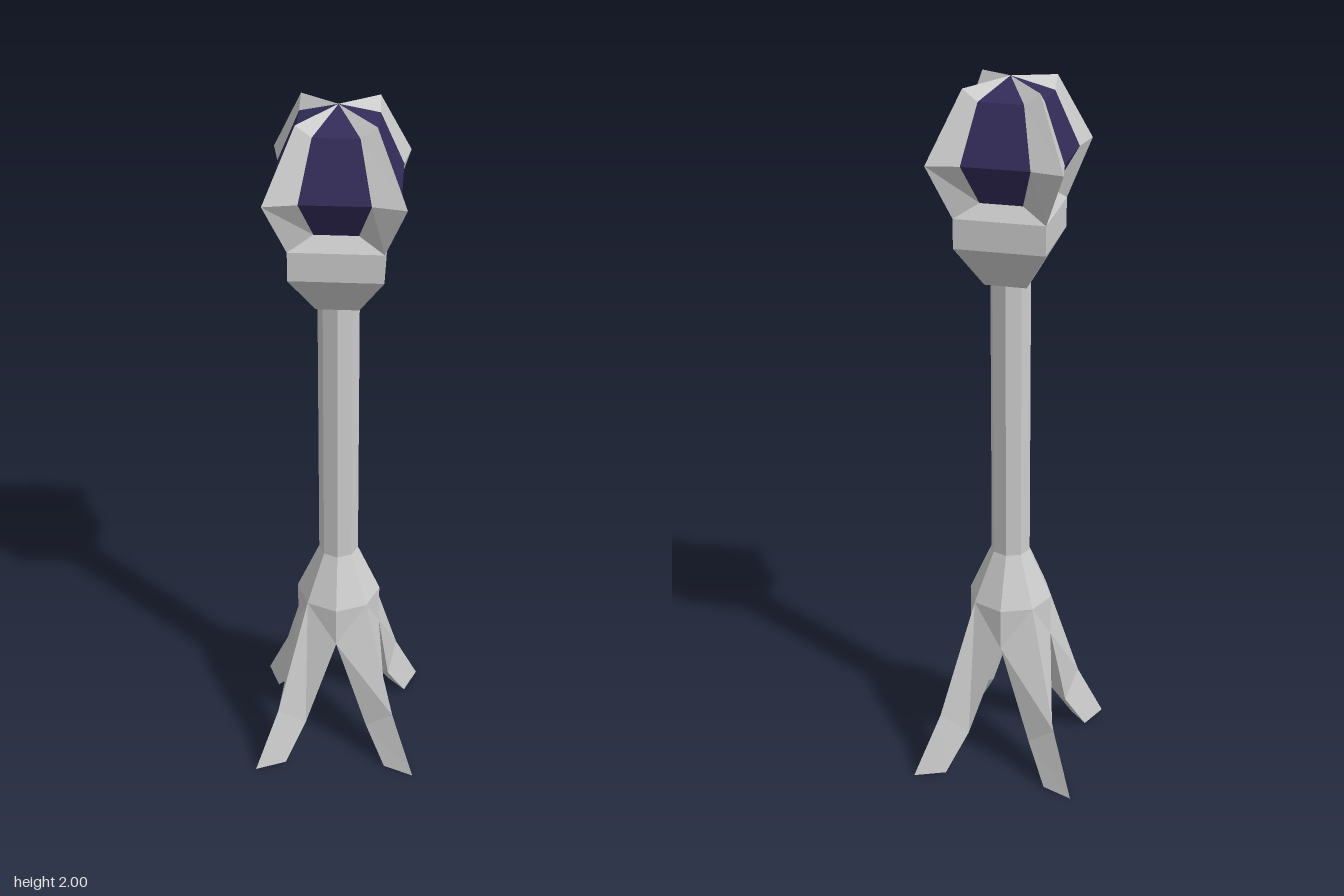
import * as THREE from 'three';

const metal = new THREE.MeshStandardMaterial({ color: 0xcccccc, flatShading: true });
const glass = new THREE.MeshStandardMaterial({ color: 0x332c58, flatShading: true });

function add(group, name, geometry, material = metal) {
  const mesh = new THREE.Mesh(geometry, material);
  mesh.name = name;
  group.add(mesh);
  return mesh;
}

// Builds faces from polygons of [x, y, z] corners; mirrored also adds them flipped across z
function faces(polygons, mirrored) {
  const positions = [];
  for (const side of mirrored ? [1, -1] : [1]) {
    for (const polygon of polygons) {
      const loop = polygon.map(([x, y, z]) => [x, y, z * side]);
      if (side < 0) loop.reverse();
      for (let i = 1; i < loop.length - 1; i++) {
        positions.push(...loop[0], ...loop[i], ...loop[i + 1]);
      }
    }
  }
  const geometry = new THREE.BufferGeometry();
  geometry.setAttribute('position', new THREE.Float32BufferAttribute(positions, 3));
  geometry.computeVertexNormals();
  return geometry;
}

// Half of a splayed leg, with its share of the ceiling between the legs
function legGeometry() {
  const hip = [0.118, 0.515, 0], corner = [0.083, 0.515, 0.083], crotch = [0.083, 0.395, 0.083];
  const knee = [0.235, 0.175, 0], kneeSide = [0.165, 0.115, 0.04];
  const toe = [0.325, 0, 0], heel = [0.24, 0, 0.035];
  const middle = ([x, y]) => [x, y, 0];
  return faces([
    [corner, crotch, hip],
    [crotch, kneeSide, knee, hip],
    [kneeSide, heel, toe, knee],
    [middle(crotch), middle(kneeSide), kneeSide, crotch],
    [middle(kneeSide), middle(heel), heel, kneeSide],
    [toe, heel, middle(heel)],
    [[0, 0.395, 0], middle(crotch), crotch],
  ], true);
}

// Lantern outline shared by ribs and panes
const apex = [0, 2, 0];
const top = [0.113, 1.955, 0.03], mid = [0.177, 1.805, 0.05], low = [0.11, 1.695, 0.03];
const rim = [0.172, 1.655, 0];

function ribGeometry() {
  const ridgeTop = [0.14, 1.985, 0], ridgeMid = [0.25, 1.805, 0];
  return faces([
    [apex, top, ridgeTop],
    [top, mid, ridgeMid, ridgeTop],
    [mid, low, rim, ridgeMid],
  ], true);
}

const swap = ([x, y, z]) => [z, y, x];
const band = (a, b) => [swap(a), swap(b), b, a];

export function createModel() {
  const model = new THREE.Group();

  // Octagonal post and flared collar, corners on the axes
  add(model, 'post', new THREE.CylinderGeometry(0.055, 0.055, 0.8, 8, 1, true)).position.y = 1.06;
  add(model, 'collar', new THREE.CylinderGeometry(0.055, 0.118, 0.145, 8, 1, true)).position.y = 0.5875;

  // Four-sided bowl under the lantern
  const profile = [[0, 1.46], [0.08, 1.46], [0.172, 1.575], [0.172, 1.655]];
  add(model, 'bowl', new THREE.LatheGeometry(profile.map(p => new THREE.Vector2(...p)), 4));

  // Parts repeated on the four sides
  const parts = [
    ['leg', legGeometry(), metal],
    ['lanternRib', ribGeometry(), metal],
    ['bowlShoulder', faces([band(low, rim)]), metal],
    ['glassPane', faces([[apex, swap(top), top], band(top, mid), band(mid, low)]), glass],
  ];
  for (const [name, geometry, material] of parts) {
    for (let i = 0; i < 4; i++) {
      add(model, name, geometry, material).rotation.y = i * Math.PI / 2;
    }
  }
  return model;
}
